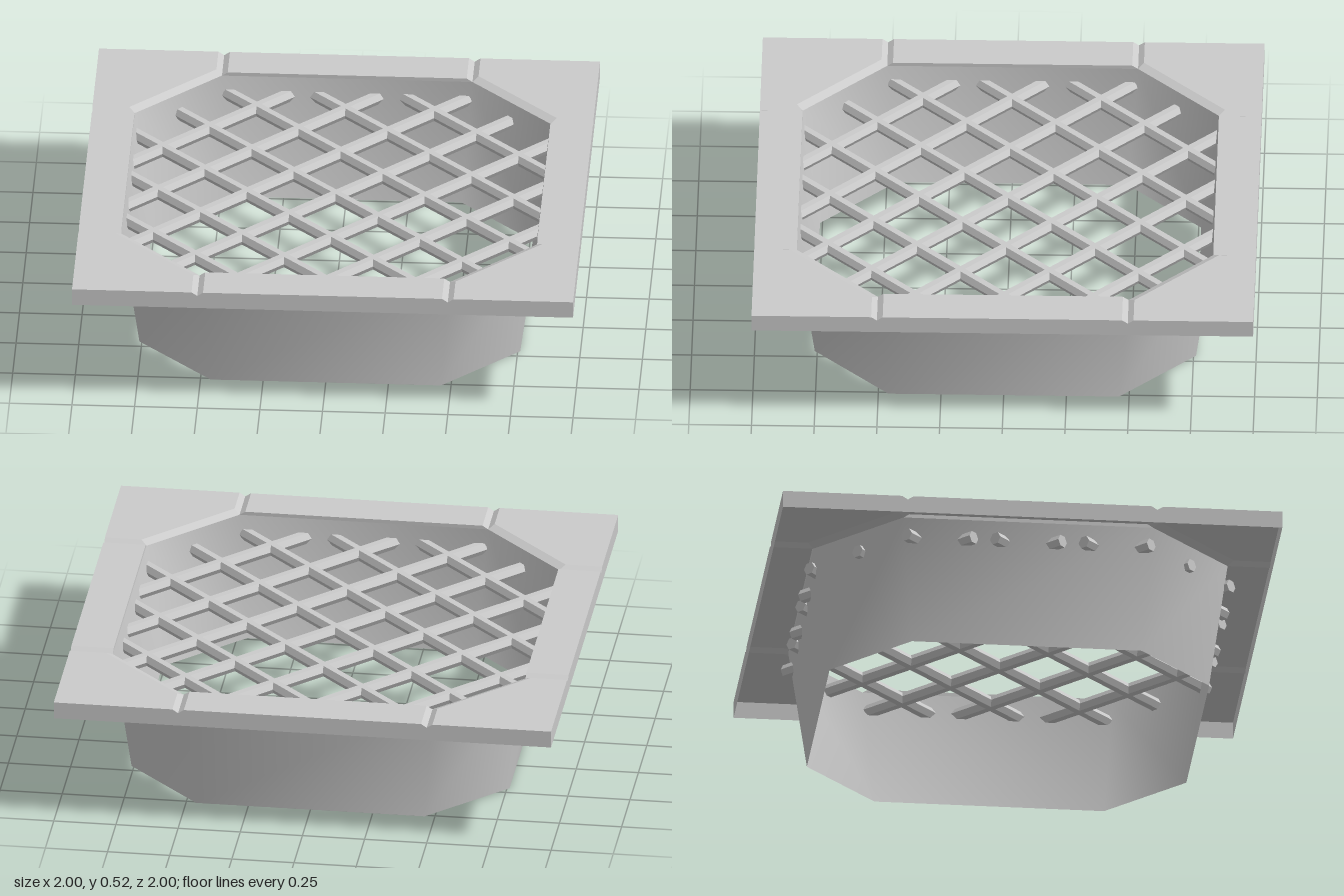
import * as THREE from 'three';

const TOP = 0.525, VALLEY = 0.51, UNDER = 0.455; // plate heights
const HOLE = 0.83, CUT = 0.5;                    // octagon: half width, half side length
const G = 0.023;                                 // half width of the grooves

const material = new THREE.MeshStandardMaterial({ color: 0xcccccc, side: THREE.DoubleSide });

function add(parent, name, geometry) {
  const mesh = new THREE.Mesh(geometry, material);
  mesh.name = name;
  parent.add(mesh);
  return mesh;
}

// Flat-faced geometry from convex polygons, corners counter-clockwise from outside
function facesGeometry(polygons) {
  const pos = [];
  for (const p of polygons)
    for (let i = 1; i < p.length - 1; i++) pos.push(...p[0], ...p[i], ...p[i + 1]);
  const geo = new THREE.BufferGeometry();
  geo.setAttribute('position', new THREE.Float32BufferAttribute(pos, 3));
  geo.computeVertexNormals();
  return geo;
}

// Corners of a horizontal octagon with cut corners
function octagon(half, cut, y) {
  const points = [];
  for (let q = 0; q < 4; q++) {
    const c = Math.round(Math.cos(q * Math.PI / 2)), s = Math.round(Math.sin(q * Math.PI / 2));
    for (const x of [-cut, cut]) points.push([x * c + half * s, y, half * c - x * s]);
  }
  return points;
}

// One quarter of the frame: the front strip, its two grooves and one corner tile
function frameQuarter() {
  const a = CUT - G, b = CUT + G, d = HOLE + G;
  const strip = [[-a, TOP, 1], [a, TOP, 1], [a, TOP, HOLE], [-a, TOP, HOLE]];
  const lip = [[-a, TOP, HOLE], [a, TOP, HOLE], [CUT, VALLEY, HOLE], [-CUT, VALLEY, HOLE]];
  const faces = [strip, lip];

  // V grooves on both ends of the strip
  faces.push(
    [[a, TOP, 1], [CUT, VALLEY, 1], [CUT, VALLEY, HOLE], [a, TOP, HOLE]],
    [[CUT, VALLEY, 1], [b, TOP, 1], [b, TOP, d], [CUT, VALLEY, HOLE]],
    [[-CUT, VALLEY, 1], [-a, TOP, 1], [-a, TOP, HOLE], [-CUT, VALLEY, HOLE]],
    [[-b, TOP, 1], [-CUT, VALLEY, 1], [-CUT, VALLEY, HOLE], [-b, TOP, d]]
  );

  // corner tile and its chamfer towards the opening
  faces.push(
    [[1, TOP, 1], [1, TOP, b], [d, TOP, b], [b, TOP, d], [b, TOP, 1]],
    [[CUT, VALLEY, HOLE], [b, TOP, d], [d, TOP, b], [HOLE, VALLEY, CUT]]
  );

  // outer rim with notches where the grooves end
  const rim = [[-1, TOP], [-b, TOP], [-CUT, VALLEY], [-a, TOP], [a, TOP], [CUT, VALLEY], [b, TOP], [1, TOP]];
  for (let i = 0; i < rim.length - 1; i++) {
    const [x0, y0] = rim[i], [x1, y1] = rim[i + 1];
    faces.push([[x0, UNDER, 1], [x1, UNDER, 1], [x1, y1, 1], [x0, y0, 1]]);
  }
  return facesGeometry(faces);
}

// Tapered eight-sided wall, smooth shaded, open at both ends
function wallGeometry() {
  const points = [...octagon(0.76, 0.46, 0), ...octagon(HOLE, CUT, VALLEY)];
  const index = [];
  for (let i = 0; i < 8; i++) {
    const j = (i + 1) % 8;
    index.push(i, j, j + 8, i, j + 8, i + 8);
  }
  const geo = new THREE.BufferGeometry();
  geo.setAttribute('position', new THREE.Float32BufferAttribute(points.flat(), 3));
  geo.setIndex(index);
  geo.computeVertexNormals();
  return geo;
}

export function createModel() {
  const model = new THREE.Group();
  model.name = 'drainGrate';

  // square frame, open below
  const frame = new THREE.Group();
  frame.name = 'frame';
  const quarter = frameQuarter();
  for (let q = 0; q < 4; q++) add(frame, 'frameQuarter', quarter).rotation.y = q * Math.PI / 2;
  model.add(frame);

  add(model, 'taperedWall', wallGeometry());

  // two crossing layers of hexagonal bars, ends poking through the wall
  const spacing = 0.355;
  for (const side of [-1, 1]) {
    const layer = new THREE.Group();
    layer.name = side < 0 ? 'leftDiagonalBars' : 'rightDiagonalBars';
    layer.position.y = 0.428;
    layer.rotation.y = side * Math.PI / 4;
    for (let k = -3; k <= 3; k++) {
      const reach = Math.min(0.845 - Math.abs(k) * spacing / 2, 0.67);
      const geo = new THREE.CylinderGeometry(0.027, 0.027, 2 * reach * Math.SQRT2, 6)
        .rotateZ(Math.PI / 2).toNonIndexed();
      geo.computeVertexNormals();
      add(layer, 'bar', geo).position.z = k * spacing / Math.SQRT2;
    }
    model.add(layer);
  }
  return model;
}
